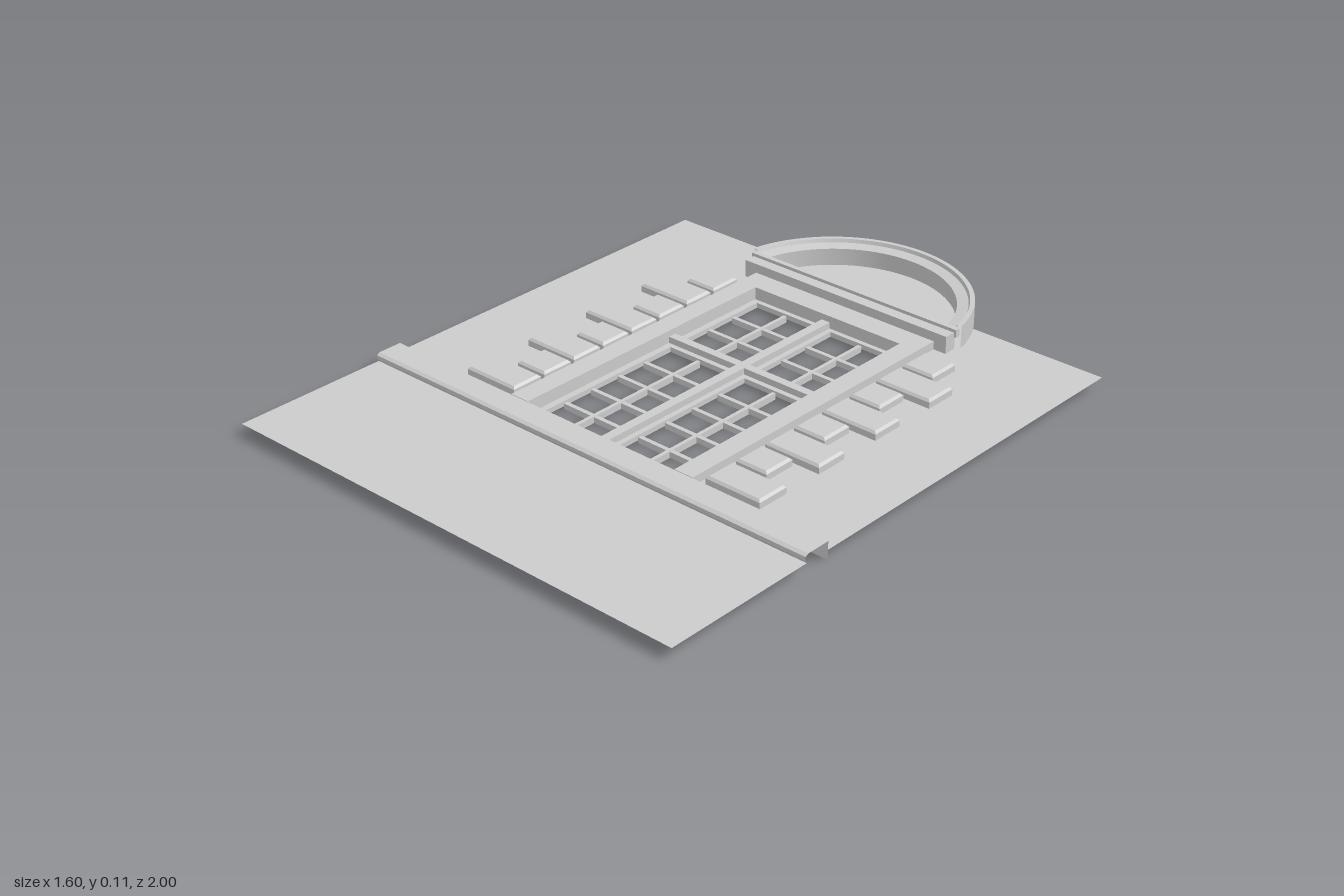
import * as THREE from 'three';
import { toCreasedNormals } from 'three/addons/utils/BufferGeometryUtils.js';

const mat = new THREE.MeshStandardMaterial({ color: 0xcccccc, side: THREE.DoubleSide });
const WALL_Y = 0.04;

export function createModel() {
  const model = new THREE.Group();
  model.name = 'windowFacade';

  const add = (name, geo, parent = model) => {
    const mesh = new THREE.Mesh(geo, mat);
    mesh.name = name;
    parent.add(mesh);
    return mesh;
  };
  const group = (name) => {
    const g = new THREE.Group();
    g.name = name;
    model.add(g);
    return g;
  };
  // Box given by its limits on each axis
  const box = (name, x0, x1, y0, y1, z0, z1, parent) =>
    add(name, new THREE.BoxGeometry(x1 - x0, y1 - y0, z1 - z0)
      .translate((x0 + x1) / 2, (y0 + y1) / 2, (z0 + z1) / 2), parent);
  // Rectangle outline on the ground plane (shape y = -z)
  const rect = (T, x0, x1, z0, z1) => {
    const s = new T();
    s.moveTo(x0, -z0).lineTo(x0, -z1).lineTo(x1, -z1).lineTo(x1, -z0).closePath();
    return s;
  };
  const slab = (shape, y0, y1) =>
    new THREE.ExtrudeGeometry(shape, { depth: y1 - y0, bevelEnabled: false })
      .rotateX(-Math.PI / 2).translate(0, y0, 0);
  const sheet = (shape, y) =>
    new THREE.ShapeGeometry(shape, 32).rotateX(-Math.PI / 2).translate(0, y, 0);

  // Thin wall, notched around the window, and its lower panel
  const upper = new THREE.Shape();
  [[-0.8, -0.8], [-0.8, 0.42], [-0.3, 0.42], [-0.3, -0.57], [0.3, -0.57], [0.3, 0.42], [0.8, 0.42], [0.8, -0.8]]
    .forEach(([x, z], i) => (i ? upper.lineTo(x, -z) : upper.moveTo(x, -z)));
  add('upperWall', sheet(upper, WALL_Y));
  add('lowerWall', sheet(rect(THREE.Shape, -0.8, 0.8, 0.505, 1), WALL_Y));

  // Sill: open moulding swept across the full width, as [z, y]
  const profile = [[0.422, 0.01], [0.422, 0.066], [0.5, 0.066], [0.51, 0.06], [0.51, 0.048], [0.505, 0.04]];
  const sillPos = [], sillIdx = [];
  profile.slice(1).forEach(([z, y], i) => {
    const [pz, py] = profile[i];
    sillPos.push(-0.8, py, pz, 0.8, py, pz, 0.8, y, z, -0.8, y, z);
    sillIdx.push(...[0, 2, 1, 0, 3, 2].map((k) => k + i * 4));
  });
  const sill = new THREE.BufferGeometry();
  sill.setAttribute('position', new THREE.Float32BufferAttribute(sillPos, 3));
  sill.setIndex(sillIdx.map((_, i) => sillIdx[i - (i % 3) + 2 - (i % 3)]));
  sill.computeVertexNormals();
  add('sill', sill);

  // Casing around the opening, and the reveal reaching behind the wall
  const surround = (name, xo, zo, xi, zi, y0, y1) => {
    const s = new THREE.Shape();
    [[-xo, zo], [-xo, 0.42], [-xi, 0.42], [-xi, zi], [xi, zi], [xi, 0.42], [xo, 0.42], [xo, zo]]
      .forEach(([x, z], i) => (i ? s.lineTo(x, -z) : s.moveTo(x, -z)));
    add(name, slab(s, y0, y1));
  };
  surround('casing', 0.34, -0.625, 0.275, -0.54, WALL_Y, 0.066);
  surround('reveal', 0.284, -0.549, 0.275, -0.54, 0.01, WALL_Y);

  // Window frame with four lights
  const lights = [];
  for (const [z0, z1, rows] of [[-0.524, -0.198, 3], [-0.138, 0.403, 5]])
    for (const [x0, x1] of [[-0.254, -0.032], [0.032, 0.254]]) lights.push({ x0, x1, z0, z1, rows });
  const frame = rect(THREE.Shape, -0.284, 0.284, -0.549, 0.43);
  lights.forEach((l) => frame.holes.push(rect(THREE.Path, l.x0, l.x1, l.z0, l.z1)));
  add('windowFrame', slab(frame, 0.01, 0.026));
  box('mullion', -0.015, 0.015, 0.022, 0.046, -0.54, 0.42);
  box('transom', -0.275, 0.275, 0.022, 0.046, -0.182, -0.155);

  // Glazing bars
  const bars = group('glazingBars');
  for (const { x0, x1, z0, z1, rows } of lights) {
    const mid = (x0 + x1) / 2;
    box('uprightBar', mid - 0.006, mid + 0.006, 0, 0.02, z0, z1, bars);
    for (let r = 1; r < rows; r++) {
      const z = z0 + ((z1 - z0) * r) / rows;
      box('crossBar', x0, x1, 0.001, 0.019, z - 0.007, z + 0.007, bars);
    }
  }

  // Quoins: alternating short and long blocks with chamfered tops
  const quoins = group('quoins');
  for (const side of [-1, 1])
    for (let i = 0; i < 8; i++) {
      const w = i % 2 ? 0.187 : 0.107, d = 0.106, h = 0.026;
      const shape = rect(THREE.Shape, -w / 2 + 0.007, w / 2 - 0.007, -d / 2 + 0.007, d / 2 - 0.007);
      const geo = new THREE.ExtrudeGeometry(shape, {
        depth: h - 0.007, bevelThickness: 0.007, bevelSize: 0.007, bevelSegments: 1,
      }).rotateX(-Math.PI / 2);
      // Square off the lower chamfer so the block meets the wall
      const p = geo.attributes.position;
      for (let k = 0; k < p.count; k++)
        if (p.getY(k) < -0.001)
          p.setXYZ(k, Math.sign(p.getX(k)) * w / 2, 0, Math.sign(p.getZ(k)) * d / 2);
      geo.computeVertexNormals();
      add('quoin', geo, quoins).position.set(side * (0.36 + w / 2), WALL_Y + 0.0005, -0.498 + i * 0.1195);
    }

  // Arched pediment: hollow curved moulding, base ledge and infill panel
  const pediment = group('pediment');
  const R = 0.4025, CZ = -0.5975, cut = 0.19;
  const arch = [[R, 0.04], [R, 0.113], [0.388, 0.113], [0.384, 0.102], [0.35, 0.096], [0.35, 0.04]]
    .map(([r, y]) => new THREE.Vector2(r, y));
  add('archMoulding', toCreasedNormals(
    new THREE.LatheGeometry(arch, 40, Math.PI / 2 + cut, Math.PI - 2 * cut), 0.5), pediment).position.z = CZ;
  const panel = new THREE.Shape();
  panel.absarc(0, -CZ, 0.352, cut, Math.PI - cut, false);
  panel.closePath();
  add('archPanel', sheet(panel, WALL_Y + 0.001), pediment);
  box('archLedge', -0.383, 0.383, WALL_Y, 0.095, -0.66, -0.618, pediment);
  box('archLedgeLip', -0.39, 0.39, 0.08, 0.105, -0.672, -0.655, pediment);

  return model;
}
